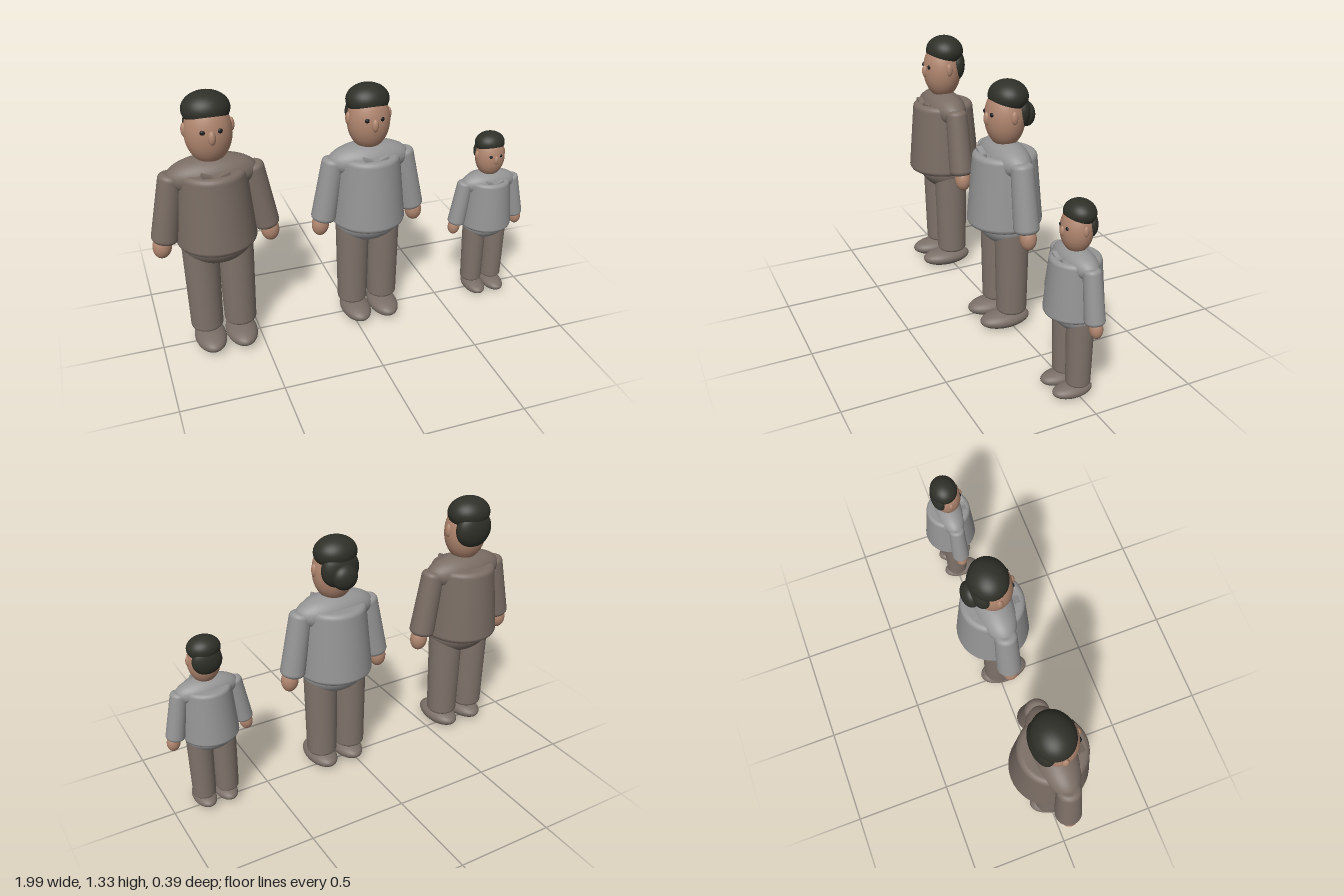
import * as THREE from 'three';

const mat = (name, color) => {
  const m = new THREE.MeshStandardMaterial({ color });
  m.name = name;
  return m;
};

// Ellipsoid from a unit sphere
const SPHERE = new THREE.SphereGeometry(1, 36, 24);
function blob(parent, name, material, pos, radii) {
  const m = new THREE.Mesh(SPHERE, material);
  m.name = name;
  m.position.set(...pos);
  m.scale.set(...radii);
  parent.add(m);
  return m;
}

// Tapered round column with softened rims, standing from y0 to y1
function column(parent, name, material, rBottom, rTop, y0, y1, soft) {
  const pts = [new THREE.Vector2(0, y0)];
  for (let i = 0; i <= 6; i++) {
    const a = (i / 6) * Math.PI / 2;
    pts.push(new THREE.Vector2(rBottom - soft + soft * Math.sin(a), y0 + soft - soft * Math.cos(a)));
  }
  for (let i = 0; i <= 6; i++) {
    const a = (i / 6) * Math.PI / 2;
    pts.push(new THREE.Vector2(rTop - soft + soft * Math.cos(a), y1 - soft + soft * Math.sin(a)));
  }
  pts.push(new THREE.Vector2(0, y1));
  const m = new THREE.Mesh(new THREE.LatheGeometry(pts, 40), material);
  m.name = name;
  parent.add(m);
  return m;
}

function person(name, c, top, hasBun) {
  const g = new THREE.Group();
  g.name = name;

  // Body
  column(g, 'torso', top, 0.196, 0.166, 0.582, 0.972, 0.028);
  blob(g, 'shoulders', top, [0, 0.94, 0], [0.22, 0.095, 0.105]);
  blob(g, 'hips', top, [0, 0.585, 0], [0.178, 0.115, 0.135]);
  column(g, 'neck', c.skin, 0.055, 0.055, 0.95, 1.08, 0.005);

  // Head and face
  blob(g, 'head', c.skin, [0, 1.15, 0], [0.112, 0.155, 0.102]);
  blob(g, 'nose', c.skin, [0, 1.152, 0.098], [0.018, 0.034, 0.018]);

  // Hair
  blob(g, 'hairCap', c.hair, [0, 1.255, -0.018], [0.113, 0.082, 0.099]);
  blob(g, 'backHair', c.hair, [0, 1.18, -0.066], [0.103, 0.1, 0.056]);
  if (hasBun) blob(g, 'hairBun', c.hair, [0, 1.152, -0.113], [0.068, 0.066, 0.046]);

  for (const s of [-1, 1]) {
    const side = s > 0 ? 'left' : 'right';
    blob(g, side + 'Ear', c.skin, [s * 0.109, 1.17, 0], [0.014, 0.034, 0.018]);
    blob(g, side + 'Eye', c.eye, [s * 0.039, 1.18, 0.09], [0.013, 0.012, 0.009]);

    // Collar points
    const collar = new THREE.Mesh(new THREE.BoxGeometry(0.06, 0.016, 0.03), top);
    collar.name = side + 'Collar';
    collar.position.set(s * 0.038, 0.973, 0.115);
    collar.rotation.z = s * 0.4;
    g.add(collar);

    // Arm hanging slightly outward
    const arm = column(g, side + 'Sleeve', top, 0.066, 0.058, -0.345, 0.01, 0.026);
    arm.position.set(s * 0.19, 0.955, 0);
    arm.rotation.z = s * 0.175;
    blob(g, side + 'Hand', c.skin, [s * 0.264, 0.592, 0], [0.046, 0.063, 0.043]).rotation.z = s * 0.1;

    // Leg and shoe
    const leg = column(g, side + 'Leg', c.trousers, 0.081, 0.09, 0.095, 0.61, 0.02);
    leg.position.x = s * 0.086;
    blob(g, side + 'Shoe', c.shoe, [s * 0.08, 0.05, 0.035], [0.079, 0.047, 0.14]);
  }
  return g;
}

export function createModel() {
  const c = {
    skin: mat('skin', 0xb0866f),
    hair: mat('hair', 0x2f3028),
    eye: mat('eye', 0x1b1b1b),
    trousers: mat('trousers', 0x7f736a),
    shoe: mat('shoe', 0x7a6f67),
  };
  const brown = mat('brownShirt', 0x7a6d64);
  const grey = mat('greyShirt', 0x959595);

  const model = new THREE.Group();
  model.name = 'family';
  // name, shirt, x, scale, bun
  const people = [
    ['tallAdult', brown, -0.683, 1, false],
    ['secondAdult', grey, 0.095, 0.958, true],
    ['child', grey, 0.778, 0.7, false],
  ];
  for (const [name, top, x, scale, bun] of people) {
    const p = person(name, c, top, bun);
    p.position.x = x;
    p.scale.setScalar(scale);
    model.add(p);
  }
  return model;
}
